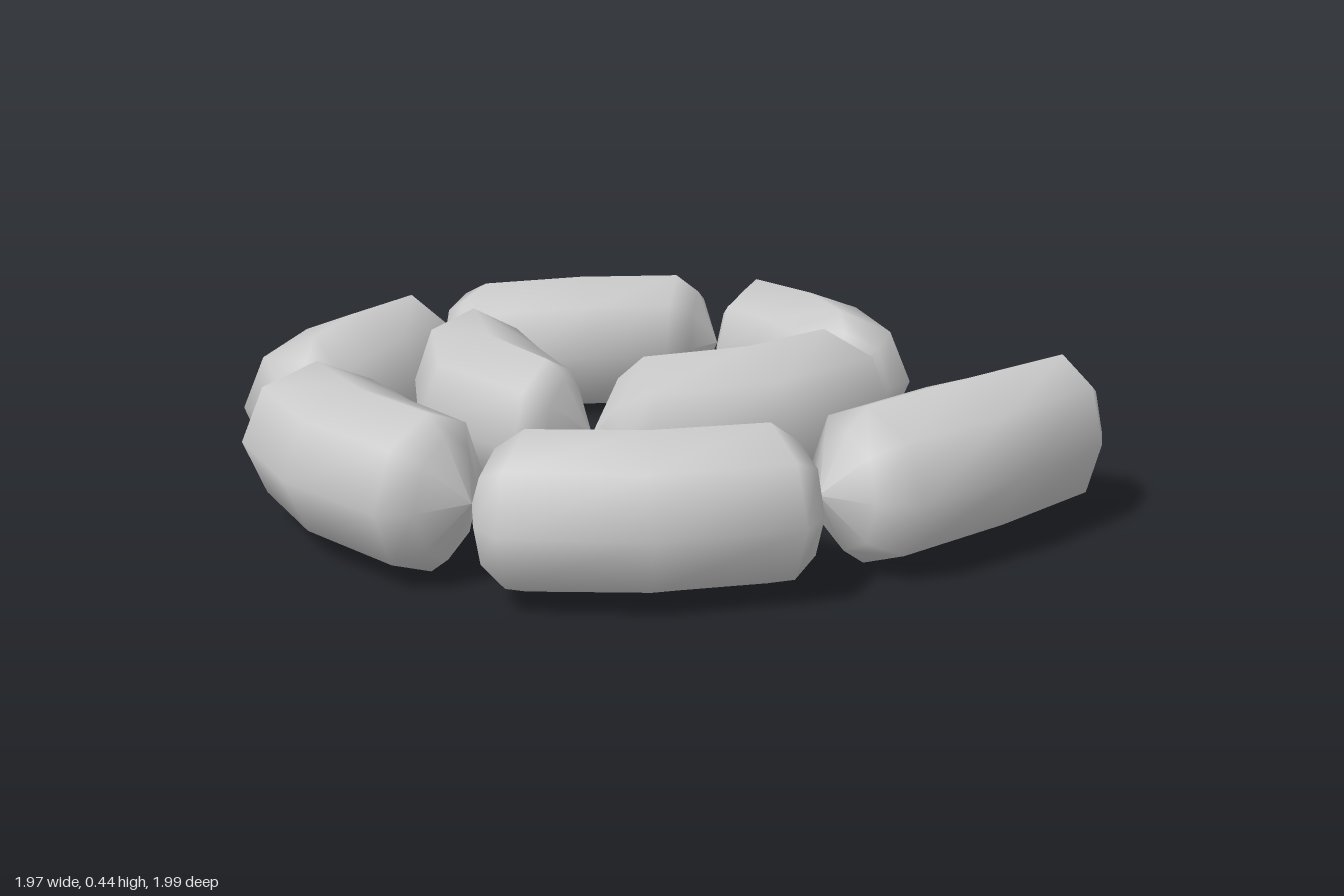
import * as THREE from 'three';

const SIDES = 8;
const RADIUS = 0.193;
const PUSH = 0.03; // how far the outer shoulder bulges past the straight cone

// Pinch points between the links, from the outer end of the spiral inwards
const JOINTS = [
  [0.985, 0.225, 0.6], [0.1, 0.21, 0.8], [-0.64, 0.21, 0.51],
  [-0.77, 0.21, -0.27], [-0.21, 0.2, -0.79], [0.56, 0.2, -0.575],
  [0.52, 0.25, 0.17], [-0.23, 0.255, 0.27], [-0.27, 0.25, -0.445],
].map((p) => new THREE.Vector3(...p));

// First and last full section of each link: centre x, centre z,
// direction of its outer side in degrees, half width
const SECTIONS = [
  [[0.895, 0.63, 85, 0.16], [0.235, 0.785, 79]],
  [[-0.03, 0.8, 93], [-0.55, 0.61, 133]],
  [[-0.7, 0.395, 151], [-0.79, -0.15, 189]],
  [[-0.715, -0.4, 205], [-0.32, -0.755, 248]],
  [[-0.075, -0.805, 266], [0.47, -0.665, 305]],
  [[0.635, -0.48, 335], [0.59, 0.06, 388]],
  [[0.43, 0.25, 415], [-0.11, 0.31, 468]],
  [[-0.33, 0.225, 504, 0.16], [-0.295, -0.34, 562, 0.16]],
];

// A section is its inner and outer edge point plus a half height
function section(centre, angle, width) {
  const out = new THREE.Vector3(Math.cos(angle), 0, Math.sin(angle));
  return {
    inner: centre.clone().addScaledVector(out, -width),
    outer: centre.clone().addScaledVector(out, width),
    height: RADIUS,
  };
}

// Smaller section between a pinch point and the nearest full section
function shoulder(tip, full, axis) {
  return {
    inner: tip.clone().lerp(full.inner, 0.55),
    outer: tip.clone().lerp(full.outer, 0.65).addScaledVector(axis, PUSH),
    height: RADIUS * 0.75,
  };
}

// Pinch point, shoulder, three full sections, shoulder, pinch point
function linkSections(start, end, [first, last]) {
  const [a, b] = [first, last].map(([x, z, degrees, width = RADIUS], i) => ({
    centre: new THREE.Vector3(x, THREE.MathUtils.lerp(start.y, end.y, 0.2 + 0.6 * i), z),
    angle: THREE.MathUtils.degToRad(degrees),
    width,
  }));
  const axis = b.centre.clone().sub(a.centre).setY(0);
  const bulge = 0.17 * axis.length() * Math.tan((b.angle - a.angle) / 2);
  axis.normalize();

  // The middle swells outwards according to how much the link bends
  const angle = (a.angle + b.angle) / 2;
  const centre = a.centre.clone().lerp(b.centre, 0.5);
  centre.x += Math.cos(angle) * bulge;
  centre.z += Math.sin(angle) * bulge;

  const head = section(a.centre, a.angle, a.width);
  const middle = section(centre, angle, RADIUS * 1.07);
  const tail = section(b.centre, b.angle, b.width);
  const tip = (p) => ({ inner: p, outer: p, height: 0 });
  return [
    tip(start), shoulder(start, head, axis.clone().negate()),
    head, middle, tail,
    shoulder(end, tail, axis), tip(end),
  ];
}

// Skins oval sections into a closed link with pinched ends
function linkGeometry(sections) {
  const positions = [];
  const index = [];
  const point = new THREE.Vector3();
  sections.forEach(({ inner, outer, height }, i) => {
    for (let j = 0; j < SIDES; j++) {
      const turn = (j / SIDES) * Math.PI * 2;
      point.lerpVectors(inner, outer, (1 + Math.cos(turn)) / 2);
      positions.push(point.x, point.y + Math.sin(turn) * height, point.z);
      if (i === sections.length - 1) continue;
      const a = i * SIDES + j;
      const b = i * SIDES + ((j + 1) % SIDES);
      // Rows at the pinch points need only one triangle per side
      if (i > 0) index.push(a, b, a + SIDES);
      if (i < sections.length - 2) index.push(b, b + SIDES, a + SIDES);
    }
  });
  const geometry = new THREE.BufferGeometry();
  geometry.setAttribute('position', new THREE.Float32BufferAttribute(positions, 3));
  geometry.setIndex(index);
  geometry.computeVertexNormals();
  return geometry;
}

export function createModel() {
  const group = new THREE.Group();
  group.name = 'sausageSpiral';
  const material = new THREE.MeshStandardMaterial({ color: 0xcccccc });
  SECTIONS.forEach((ends, i) => {
    const sections = linkSections(JOINTS[i], JOINTS[i + 1], ends);
    const mesh = new THREE.Mesh(linkGeometry(sections), material);
    mesh.name = `sausageLink${i + 1}`;
    group.add(mesh);
  });
  return group;
}
